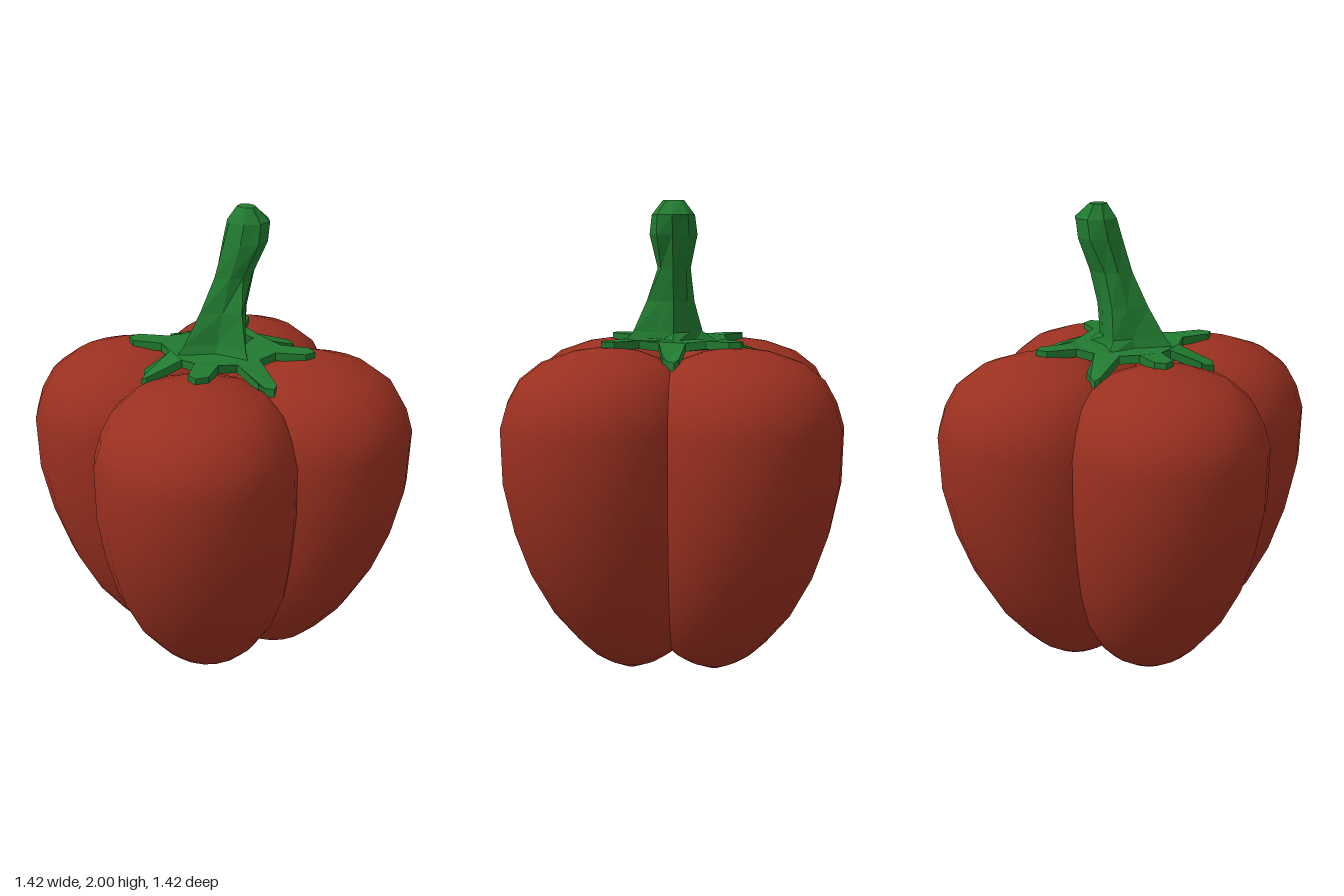
import * as THREE from 'three';

const skin = new THREE.MeshStandardMaterial({ color: 0x9a3020, roughness: 1 });
const green = new THREE.MeshStandardMaterial({ color: 0x217a30, roughness: 1, flatShading: true });

// Closed skin over rings of equal point count, listed from bottom to top
function loft(rings) {
  const n = rings[0].length, pos = [], index = [];
  rings.forEach(ring => ring.forEach(p => pos.push(...p)));
  for (let i = 0; i < rings.length - 1; i++) {
    for (let j = 0; j < n; j++) {
      const a = i * n + j, b = i * n + (j + 1) % n;
      index.push(a, a + n, b, b, a + n, b + n);
    }
  }
  const top = (rings.length - 1) * n;
  for (let j = 1; j < n - 1; j++) {
    index.push(0, j, j + 1);
    index.push(top, top + j + 1, top + j);
  }
  const geo = new THREE.BufferGeometry();
  geo.setAttribute('position', new THREE.Float32BufferAttribute(pos, 3));
  geo.setIndex(index);
  geo.computeVertexNormals();
  return geo;
}

// One rounded lobe: [height, offset from both axes, radius]
function lobeGeometry() {
  const profile = [
    [0, 0.18, 0.03], [0.04, 0.175, 0.12], [0.08, 0.175, 0.18], [0.14, 0.18, 0.235],
    [0.27, 0.205, 0.31], [0.45, 0.235, 0.37], [0.64, 0.265, 0.4], [0.85, 0.285, 0.42],
    [1.08, 0.29, 0.42], [1.18, 0.29, 0.39], [1.27, 0.285, 0.345], [1.34, 0.275, 0.265],
    [1.385, 0.27, 0.14], [1.4, 0.27, 0.04],
  ];
  const sides = 20;
  return loft(profile.map(([y, c, r]) => Array.from({ length: sides }, (_, j) => {
    const a = (j / sides) * Math.PI * 2;
    return [c + r * Math.cos(a), y, c + r * Math.sin(a)];
  })));
}

// Eight-armed leafy collar, its axis arms drooping into the grooves
function calyxGeometry() {
  const quarter = [
    [0.39, 0.015], [0.375, 0.035], [0.22, 0.055], [0.21, 0.14], [0.295, 0.235],
    [0.29, 0.285], [0.235, 0.295], [0.14, 0.21], [0.055, 0.22], [0.035, 0.35], [0.015, 0.36],
  ];
  const points = [];
  for (let q = 0; q < 4; q++) {
    const a = q * Math.PI / 2;
    quarter.forEach(([x, y]) => points.push(
      new THREE.Vector2(x, y).rotateAround(new THREE.Vector2(), a)));
  }
  const geo = new THREE.ExtrudeGeometry(new THREE.Shape(points), { depth: 0.035, bevelEnabled: false });
  geo.rotateX(-Math.PI / 2);
  const p = geo.attributes.position;
  for (let i = 0; i < p.count; i++) {
    const x = p.getX(i), z = p.getZ(i);
    const near = Math.max(0, 1 - Math.min(Math.abs(x), Math.abs(z)) / 0.13);
    const out = Math.max(0, (Math.hypot(x, z) - 0.19) / 0.18);
    p.setY(i, p.getY(i) + 1.39 - 0.085 * near * Math.min(out, 1));
  }
  geo.computeVertexNormals();
  return geo;
}

// Leaning stem: star-shaped ridged foot, narrow waist, thicker blunt tip
function stemGeometry() {
  // height, centre x, then reach toward +x, +z, -x, -z and on the diagonals
  const sections = [
    [1.4, 0, 0.2, 0.22, 0.22, 0.2, 0.11],
    [1.45, 0.01, 0.11, 0.18, 0.19, 0.12, 0.095],
    [1.58, 0.03, 0.1, 0.12, 0.13, 0.085, 0.08],
    [1.72, 0.065, 0.1, 0.07, 0.095, 0.07, 0.075],
    [1.86, 0.12, 0.09, 0.1, 0.105, 0.1, 0.095],
    [1.94, 0.135, 0.095, 0.09, 0.095, 0.09, 0.09],
    [2, 0.125, 0.035, 0.045, 0.035, 0.045, 0.04],
  ];
  return loft(sections.map(([y, cx, px, pz, nx, nz, diag]) =>
    [px, diag, pz, diag, nx, diag, nz, diag].map((r, j) => {
      const a = j * Math.PI / 4;
      return [cx + r * Math.cos(a), y, r * Math.sin(a)];
    })));
}

export function createModel() {
  const model = new THREE.Group();
  model.name = 'bellPepper';
  const add = (name, geo, mat, parent = model) => {
    const mesh = new THREE.Mesh(geo, mat);
    mesh.name = name;
    parent.add(mesh);
    return mesh;
  };

  // Four lobes meeting in grooves
  const body = new THREE.Group();
  body.name = 'body';
  model.add(body);
  const lobe = lobeGeometry();
  for (let q = 0; q < 4; q++) add('lobe' + (q + 1), lobe, skin, body).rotation.y = q * Math.PI / 2;

  add('calyx', calyxGeometry(), green);
  add('stem', stemGeometry(), green);
  return model;
}
